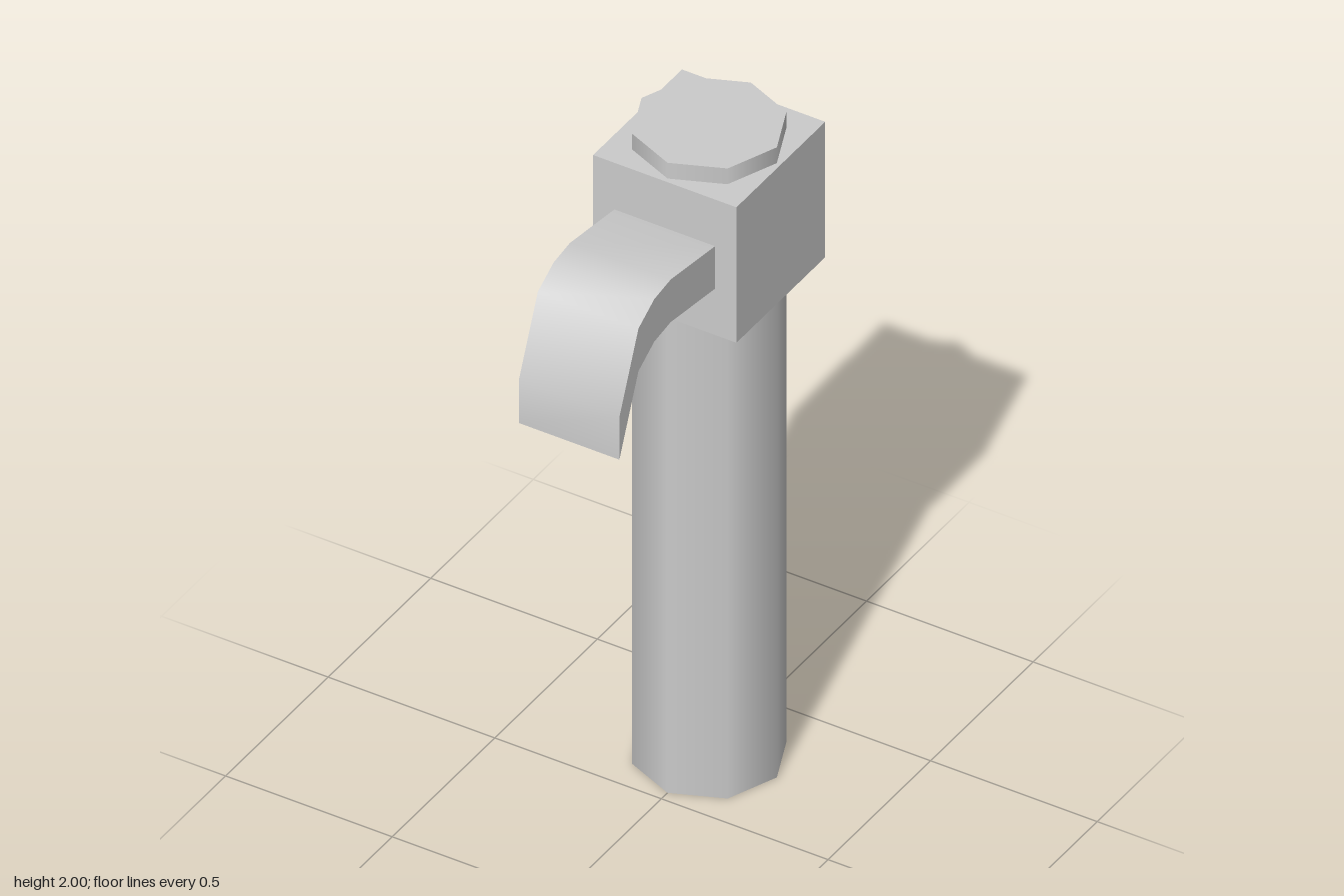
import * as THREE from 'three';
import { toCreasedNormals } from 'three/addons/utils/BufferGeometryUtils.js';

export function createModel() {
  const model = new THREE.Group();
  model.name = 'standpipeTap';
  const material = new THREE.MeshStandardMaterial({ color: 0xcccccc });
  const axisZ = -0.233; // centre line of the post

  function add(name, geometry, x, y, z) {
    const mesh = new THREE.Mesh(geometry, material);
    mesh.name = name;
    mesh.position.set(x, y, z);
    model.add(mesh);
  }

  // Eight-sided upright pipe, smooth round the side
  add('post', new THREE.CylinderGeometry(0.203, 0.203, 2, 8), 0, 1, axisZ);

  // Block clamped round the top of the pipe
  add('headBlock', new THREE.BoxGeometry(0.43, 0.43, 0.433), 0, 1.735, axisZ);

  // Curved spout: a side profile of constant height, swept across the width
  const width = 0.302;
  const height = 0.135;
  const top = [[-0.017, 1.802], [0.2, 1.832], [0.28, 1.82], [0.357, 1.775], [0.45, 1.552]]
    .map(([z, y]) => new THREE.Vector2(z, y));
  const bottom = top.map((p) => new THREE.Vector2(p.x, p.y - height)).reverse();
  const spout = new THREE.ExtrudeGeometry(new THREE.Shape([...top, ...bottom]), {
    depth: width,
    bevelEnabled: false,
  });
  spout.rotateY(-Math.PI / 2);
  add('spout', toCreasedNormals(spout, 0.8), width / 2, 0, 0);

  return model;
}
